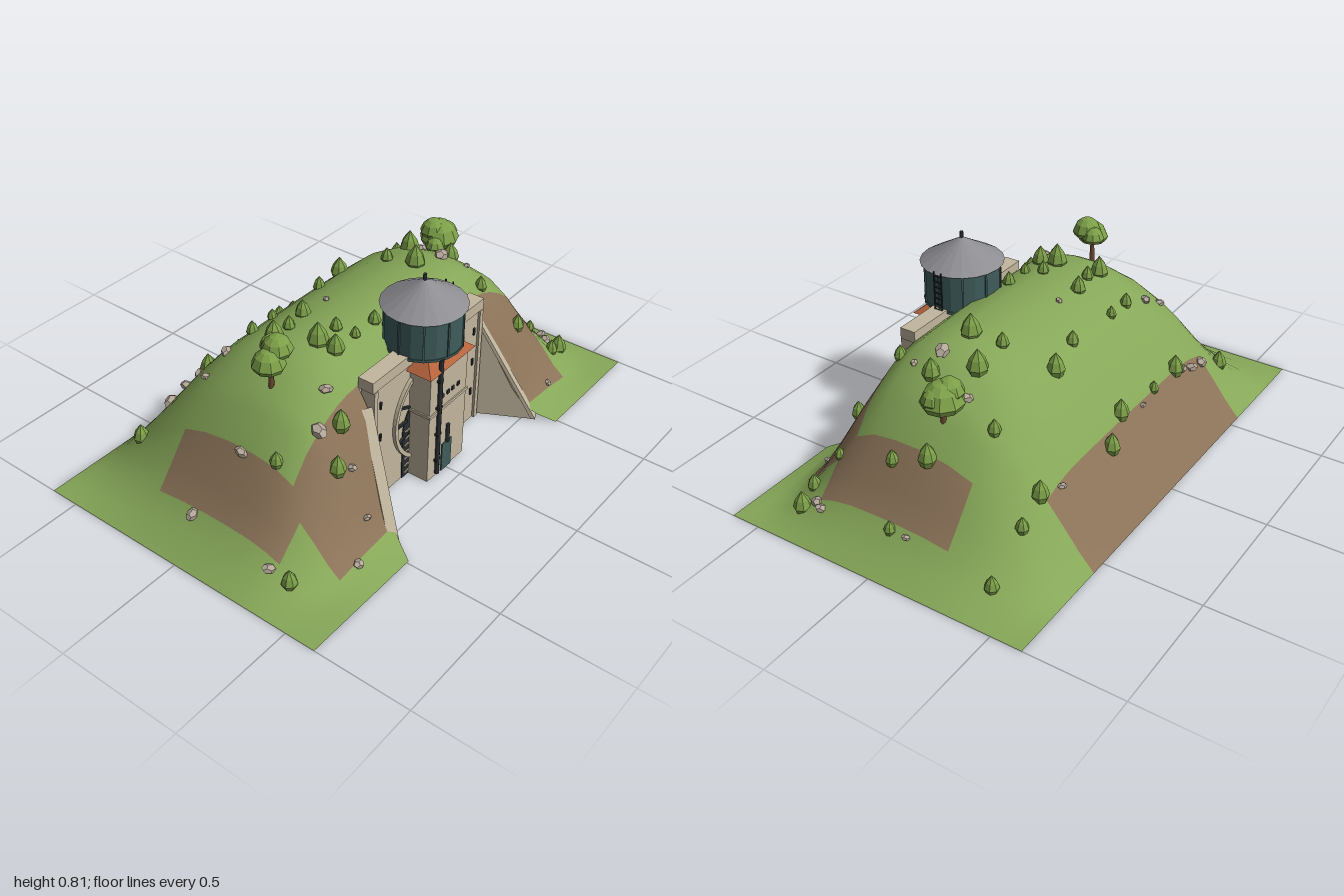
import * as THREE from 'three';

const mat = (name, color, side = THREE.FrontSide) => {
  const m = new THREE.MeshStandardMaterial({ color, side });
  m.name = name;
  return m;
};

// Linear lookup in a short [position, value] profile
const lookup = (table, v) => {
  for (let i = 1; i < table.length; i++) {
    const [a, fa] = table[i - 1], [b, fb] = table[i];
    if (v <= b) return fa + (fb - fa) * (v - a) / (b - a);
  }
  return table[table.length - 1][1];
};
const ACROSS = [[0, 0.605], [0.3, 0.603], [0.4, 0.592], [0.45, 0.575], [0.5, 0.548], [0.56, 0.505], [0.62, 0.45],
  [0.69, 0.345], [0.73, 0.285], [0.78, 0.21], [0.84, 0.125], [0.92, 0.05], [1, 0]];
const ALONG = [[-0.62, 0], [-0.56, 0.13], [-0.5, 0.28], [-0.43, 0.45], [-0.36, 0.61], [-0.29, 0.745], [-0.22, 0.85],
  [-0.12, 0.95], [0, 1], [0.1, 1], [0.2, 0.965], [0.28, 0.85], [0.34, 0.68], [0.4, 0.47], [0.46, 0.24],
  [0.51, 0.1], [0.56, 0.045], [0.62, 0]];
const height = (x, z) => lookup(ACROSS, Math.abs(x)) * lookup(ALONG, z);

// Half width of the cutting in front of the portal
const EDGE = 0.34;
const cutting = z => EDGE + Math.max(0, z - 0.34) * 0.15 / 0.28;

function hillGeometry() {
  const half = [0.17, EDGE, 0.4, 0.45, 0.5, 0.56, 0.62, 0.69, 0.73, 0.78, 0.84, 0.92, 1];
  const xs = [...half.map(x => -x).reverse(), 0, ...half];
  const zs = ALONG.map(p => p[0]);
  const pos = [], grass = [], dirt = [];
  for (const z of zs) for (const x0 of xs) {
    const e = cutting(z), a = Math.abs(x0);
    const a2 = a >= EDGE && a < 0.69 ? e + (a - EDGE) / (0.69 - EDGE) * (0.69 - e) : a;
    const x = Math.sign(x0) * a2;
    pos.push(x, height(x, z), z);
  }
  const n = xs.length;
  for (let j = 0; j < zs.length - 1; j++) for (let i = 0; i < n - 1; i++) {
    const x = Math.abs(xs[i] + xs[i + 1]) / 2, z = (zs[j] + zs[j + 1]) / 2;
    if (z > 0.28 && x < EDGE) continue;
    const bare = (z < -0.43 && x < 0.56) || (z > 0.28 && z < 0.51 && x < 0.73)
      || (x > 0.69 && x < 0.84 && z > -0.22 && z < 0.34);
    const a = j * n + i, d = a + n;
    (bare ? dirt : grass).push(a, d, d + 1, a, d + 1, a + 1);
  }
  const g = new THREE.BufferGeometry();
  g.setAttribute('position', new THREE.Float32BufferAttribute(pos, 3));
  g.setIndex([...grass, ...dirt]);
  g.addGroup(0, grass.length, 0);
  g.addGroup(grass.length, dirt.length, 1);
  g.computeVertexNormals();
  return g;
}

const faceted = g => {
  const f = g.toNonIndexed();
  f.computeVertexNormals();
  return f;
};
const lathe = (pts, sides) => faceted(new THREE.LatheGeometry(pts.map(p => new THREE.Vector2(...p)), sides));

export function createModel() {
  const M = {
    grass: mat('grass', 0x86a758, THREE.DoubleSide), dirt: mat('bare earth', 0x8b7358, THREE.DoubleSide),
    concrete: mat('concrete', 0xc2b69e), tank: mat('tank teal', 0x3f5d5c), roof: mat('roof grey', 0x8d8d92),
    tile: mat('terracotta', 0xb4623c), iron: mat('dark iron', 0x2b2f32), leaf: mat('foliage', 0x7c9f48),
    rock: mat('rock', 0xb3a698), bark: mat('bark', 0x6b4730),
  };
  const root = new THREE.Group();
  root.name = 'hillside water tower';
  const add = (name, geo, m, x = 0, y = 0, z = 0, parent = root) => {
    const o = new THREE.Mesh(geo, m);
    o.name = name;
    o.position.set(x, y, z);
    parent.add(o);
    return o;
  };
  const box = (name, w, h, d, m, x, y, z, parent) => add(name, new THREE.BoxGeometry(w, h, d), m, x, y, z, parent);
  const rod = (name, r, h, m, x, y, z, parent) => add(name, new THREE.CylinderGeometry(r, r, h, 8), m, x, y, z, parent);

  add('hill', hillGeometry(), [M.grass, M.dirt]);

  // Portal wall with its coping
  box('portalWall', 0.67, 0.51, 0.05, M.concrete, 0, 0.255, 0.315);
  box('portalCoping', 0.68, 0.045, 0.065, M.concrete, 0, 0.5225, 0.314);
  for (const s of [-1, 1]) {
    box('wallPilaster', 0.02, 0.5, 0.012, M.concrete, s * 0.325, 0.25, 0.344);
    for (const y of [0.14, 0.28, 0.42]) box('wallBracket', 0.008, 0.03, 0.008, M.iron, s * 0.29, y, 0.342);
  }

  // Sloping wing walls beside the cutting
  for (const s of [-1, 1]) {
    const wing = new THREE.Group();
    wing.name = s > 0 ? 'leftWing' : 'rightWing';
    wing.scale.x = s;
    const pivot = new THREE.Group();
    pivot.position.set(EDGE, 0, 0.335);
    pivot.rotation.y = -Math.atan2(0.28, 0.15);
    wing.add(pivot);
    root.add(wing);
    const slab = (name, pts, depth, z) => add(name, new THREE.ExtrudeGeometry(
      new THREE.Shape(pts.map(p => new THREE.Vector2(...p))), { depth, bevelEnabled: false }), M.concrete, 0, 0, z, pivot);
    slab('wingWall', [[0, 0], [0.24, 0], [0.23, 0.01], [0, 0.42]], 0.025, -0.025);
    slab('wingCoping', [[0, 0.415], [0.225, 0.005], [0.242, 0.005], [0, 0.44]], 0.04, -0.032);
  }

  // Arched tunnel mouth with grille bars and raised ring
  const arch = new THREE.Shape().moveTo(-0.155, 0).lineTo(0.155, 0).lineTo(0.155, 0.2).absarc(0, 0.2, 0.155, 0, Math.PI, false);
  add('tunnelMouth', new THREE.ExtrudeGeometry(arch, { depth: 0.006, bevelEnabled: false }), M.iron, 0, 0, 0.338);
  for (const s of [-1, 1]) for (let i = 0; i < 7; i++)
    box('grilleBar', 0.03, 0.006, 0.008, M.concrete, s * 0.131, 0.02 + i * 0.032, 0.344);
  const ring = new THREE.Shape().absarc(0, 0, 0.214, 0, Math.PI * 2, false);
  ring.holes.push(new THREE.Path().absarc(0, 0, 0.198, 0, Math.PI * 2, true));
  add('portalRing', new THREE.ExtrudeGeometry(ring, { depth: 0.016, bevelEnabled: false, curveSegments: 24 }), M.concrete, 0, 0.26, 0.338);
  for (const a of [-0.42, 0, 0.42]) for (const s of [-1, 1]) {
    const spoke = box('ringSpoke', 0.06, 0.009, 0.01, M.iron, s * 0.165 * Math.cos(a), 0.26 + 0.165 * Math.sin(a), 0.346);
    spoke.rotation.z = s * a;
  }

  // Tower shaft and its fittings
  box('towerShaft', 0.23, 0.49, 0.14, M.concrete, 0, 0.245, 0.36);
  box('towerBand', 0.24, 0.012, 0.15, M.concrete, 0, 0.3, 0.36);
  box('towerDoor', 0.06, 0.125, 0.006, M.tank, 0, 0.0625, 0.432);
  for (const x of [-0.04, -0.005, 0.025, 0.06]) box('towerWindow', 0.015, 0.016, 0.005, M.iron, x, 0.355, 0.432);
  rod('doorVent', 0.008, 0.08, M.iron, 0, 0.165, 0.436);
  rod('downPipe', 0.009, 0.52, M.iron, -0.065, 0.275, 0.438);
  for (const y of [0.08, 0.2, 0.32, 0.44]) box('pipeClamp', 0.026, 0.01, 0.014, M.iron, -0.065, y, 0.436);
  const skirt = new THREE.CylinderGeometry(0.11, 0.197, 0.05, 4, 1);
  skirt.rotateY(Math.PI / 4);
  add('tileSkirt', faceted(skirt), M.tile, 0, 0.507, 0.307);

  // Water tank
  const tank = new THREE.Group();
  tank.name = 'waterTank';
  tank.position.z = 0.31;
  root.add(tank);
  add('tankBody', faceted(new THREE.CylinderGeometry(0.146, 0.146, 0.165, 20)), M.tank, 0, 0.6125, 0, tank);
  for (const y of [0.535, 0.685]) add('tankHoop', new THREE.CylinderGeometry(0.149, 0.149, 0.01, 20), M.tank, 0, y, 0, tank);
  for (let i = 0; i < 10; i++) {
    const a = (i + 0.5) * Math.PI / 5;
    box('tankRib', 0.007, 0.16, 0.007, M.tank, 0.147 * Math.sin(a), 0.612, 0.147 * Math.cos(a), tank).rotation.y = a;
  }
  add('tankRoof', faceted(new THREE.ConeGeometry(0.16, 0.095, 20)), M.roof, 0, 0.7375, 0, tank);
  rod('roofFinial', 0.007, 0.03, M.iron, 0, 0.79, 0, tank);
  for (const s of [-1, 1]) rod('ladderRail', 0.003, 0.17, M.iron, 0.156, 0.615, s * 0.016, tank);
  for (let i = 0; i < 7; i++) box('ladderRung', 0.004, 0.004, 0.032, M.iron, 0.156, 0.545 + i * 0.023, 0, tank);

  // Trees: [x, trunk base y, z, crowns as x, y, z, radius]
  const crown = lathe([[0, 0], [0.85, 0], [1, 0.3], [0.75, 0.85], [0.4, 1.15], [0, 1.25]], 9);
  const trees = [
    [-0.535, 0.5, 0.06, [[-0.555, 0.61, 0.07, 0.062], [-0.51, 0.65, 0.07, 0.058], [-0.49, 0.64, 0.03, 0.045]]],
    [0.615, 0.41, -0.05, [[0.63, 0.51, -0.06, 0.08], [0.575, 0.51, -0.04, 0.042], [0.665, 0.535, -0.05, 0.045], [0.61, 0.55, -0.075, 0.055]]],
  ];
  for (const [x, y, z, blobs] of trees) {
    add('treeTrunk', new THREE.CylinderGeometry(0.007, 0.012, 0.14, 7), M.bark, x, y + 0.06, z);
    for (const [bx, by, bz, r] of blobs) add('treeCrown', crown, M.leaf, bx, by, bz).scale.setScalar(r);
  }

  // Bushes: [x, z, radius]
  const bush = lathe([[0, -1.1], [0.7, -0.8], [1, -0.1], [0.72, 0.7], [0, 1.6]], 7);
  [[-0.69, -0.46, 0.032], [-0.35, -0.43, 0.034], [-0.18, -0.43, 0.02], [0.05, -0.42, 0.033], [0.18, -0.46, 0.033],
    [0.57, -0.41, 0.033], [0.68, -0.41, 0.025], [0.86, -0.41, 0.027], [-0.32, -0.22, 0.024], [-0.21, -0.22, 0.02],
    [0.05, -0.21, 0.025], [0.21, -0.24, 0.036], [0.56, -0.22, 0.025], [-0.37, -0.07, 0.036], [-0.3, -0.06, 0.024],
    [-0.2, -0.08, 0.03], [0.29, -0.07, 0.025], [0.44, -0.07, 0.04], [0.7, -0.04, 0.035], [0.86, 0.01, 0.022],
    [-0.32, 0.09, 0.04], [-0.22, 0.09, 0.024], [-0.31, 0.16, 0.034]].concat(
    [[-0.2, 0.16, 0.02], [-0.09, 0.16, 0.025], [0.31, 0.05, 0.04], [0.52, 0.07, 0.034], [0.73, 0.09, 0.025],
      [-0.86, 0.4, 0.03], [-0.68, 0.2, 0.025], [-0.47, 0.31, 0.034], [-0.55, 0.36, 0.032], [0.45, 0.26, 0.025],
      [0.72, 0.34, 0.02], [0.79, 0.41, 0.027], [0.87, 0.4, 0.035], [0.58, 0.36, 0.028]],
  ).forEach(([x, z, r], i) => {
    const b = add('bush', bush, M.leaf, x, height(x, z) + r * 0.3, z);
    b.scale.set(r, r * 1.1, r);
    b.rotation.y = i * 1.3;
  });

  // Rocks: [x, z, radius]
  const rock = faceted(new THREE.DodecahedronGeometry(1, 0));
  [[-0.86, -0.04, 0.026], [-0.7, 0.06, 0.025], [-0.54, -0.45, 0.03], [-0.45, -0.45, 0.026], [-0.39, -0.44, 0.026],
    [-0.54, -0.25, 0.02], [-0.44, -0.24, 0.025], [-0.08, -0.44, 0.014], [-0.08, -0.07, 0.015], [-0.87, 0.32, 0.026],
    [-0.55, 0.28, 0.034], [-0.45, 0.23, 0.026], [-0.5, 0.38, 0.02], [-0.64, 0.52, 0.023], [-0.52, 0.46, 0.018],
    [0.44, 0.08, 0.034], [0.54, -0.09, 0.026], [0.5, 0.16, 0.016], [0.86, -0.06, 0.016], [0.85, 0.35, 0.025],
    [0.87, 0.31, 0.023], [0.62, 0.5, 0.016], [0.48, -0.44, 0.018],
  ].forEach(([x, z, r], i) => {
    const o = add('rock', rock, M.rock, x, height(x, z) + r * 0.25, z);
    o.scale.set(r * 1.1, r * 0.65, r * 0.8);
    o.rotation.set(0.3 * Math.sin(i * 2.1), i * 1.7, 0.35 * Math.cos(i * 1.4));
  });

  return root;
}
